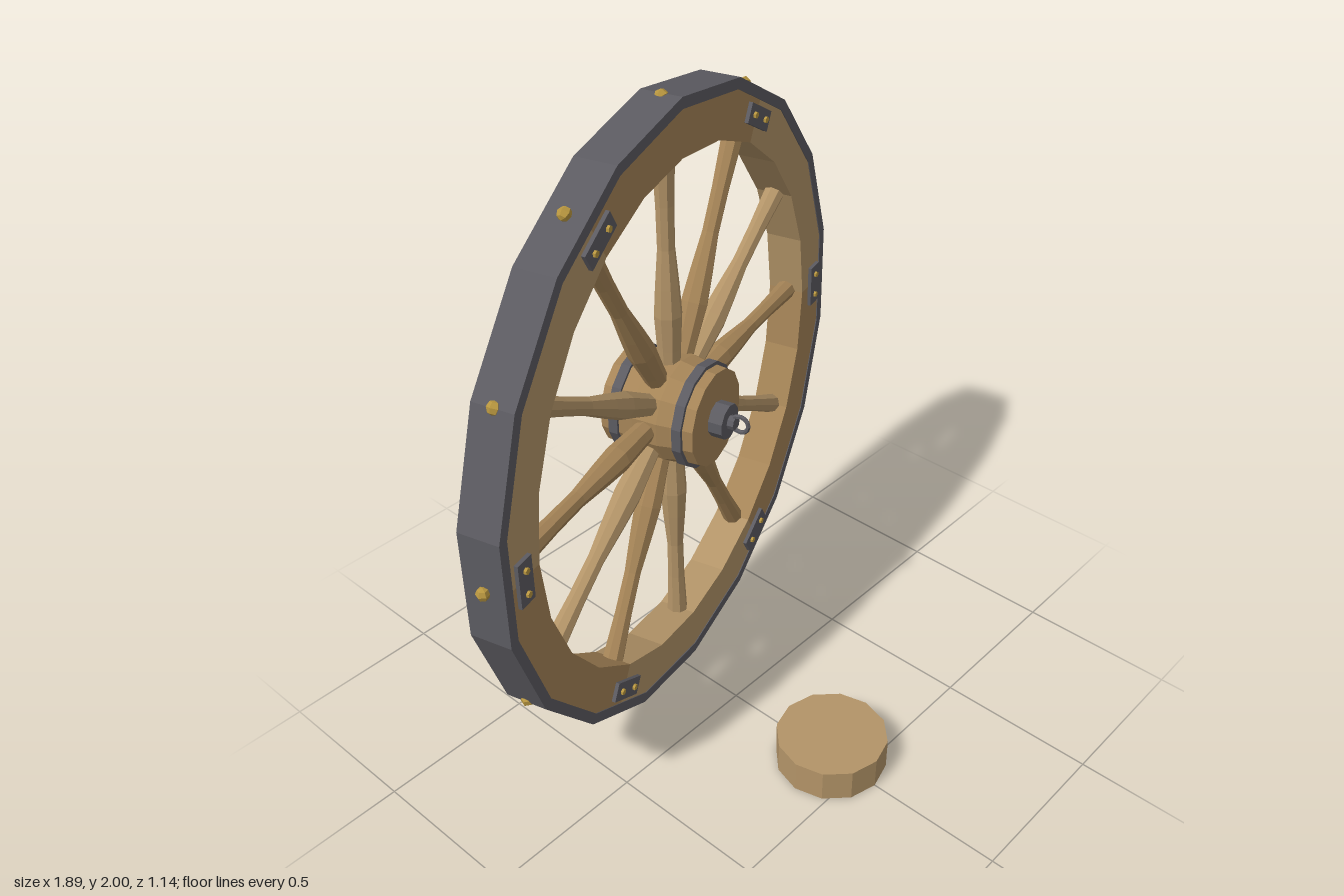
import * as THREE from 'three';

const mat = (color) => new THREE.MeshStandardMaterial({ color, flatShading: true });
const woodLight = mat(0xb39468), woodDark = mat(0xa58457), iron = mat(0x5c5b61), brass = mat(0xb8963f);

function add(parent, name, geometry, material, x = 0, y = 0, z = 0) {
  const mesh = new THREE.Mesh(geometry, material);
  mesh.name = name;
  mesh.position.set(x, y, z);
  parent.add(mesh);
  return mesh;
}

// Points along an arc made of straight segments
function arc(radius, start, end, segments) {
  return Array.from({ length: segments + 1 }, (_, i) => {
    const a = start + (end - start) * i / segments;
    return new THREE.Vector2(radius * Math.cos(a), radius * Math.sin(a));
  });
}

// Flat outline extruded evenly to both sides of z = 0
function slab(shape, depth) {
  return new THREE.ExtrudeGeometry(shape, { depth, bevelEnabled: false }).translate(0, 0, -depth / 2);
}

// Cylinder lying along z
const disc = (radius, depth, sides) => new THREE.CylinderGeometry(radius, radius, depth, sides).rotateX(Math.PI / 2);

const profile = (points) => points.map(([r, y]) => new THREE.Vector2(r, y));

// Group turned about the axle
function spun(parent, name, angle) {
  const group = new THREE.Group();
  group.name = name;
  group.rotation.z = angle;
  parent.add(group);
  return group;
}

function buildRim(wheel) {
  const step = Math.PI / 3;
  const felloe = slab(new THREE.Shape([...arc(0.942, 0, step, 4), ...arc(0.795, step, 0, 4)]), 0.12);
  for (let i = 0; i < 6; i++) {
    add(wheel, 'felloe', felloe, i % 2 ? woodDark : woodLight).rotation.z = i * step;

    // Riveted plate over each joint
    const joint = spun(wheel, 'jointPlate', i * step);
    add(joint, 'plate', new THREE.BoxGeometry(0.06, 0.14, 0.014), iron, 0.87, 0, 0.065);
    for (const y of [-0.038, 0.038]) add(joint, 'rivet', disc(0.01, 0.01, 6), brass, 0.87, y, 0.075);
  }

  // Iron tyre, coarser than the wooden rim
  const top = Math.PI / 2;
  const ring = new THREE.Shape(arc(0.965, top, top + Math.PI * 2, 18).slice(0, -1));
  ring.holes.push(new THREE.Path(arc(0.932, top, top - Math.PI * 2, 18).slice(0, -1)));
  add(wheel, 'tyre', slab(ring, 0.126), iron);

  // Tyre studs
  for (let i = 0; i < 12; i++) {
    const stud = spun(wheel, 'stud', i * Math.PI / 6);
    add(stud, 'studHead', new THREE.SphereGeometry(0.02, 6, 4), brass, 0.957, 0, 0);
  }
}

function buildSpokes(wheel) {
  const spoke = new THREE.LatheGeometry(profile([
    [0.032, 0.1], [0.036, 0.2], [0.042, 0.31], [0.036, 0.4], [0.026, 0.52], [0.027, 0.65], [0.034, 0.82],
  ]), 8);
  for (let i = 0; i < 12; i++) add(wheel, 'spoke', spoke, i % 2 ? woodDark : woodLight).rotation.z = i * Math.PI / 6;
}

function buildHub(wheel) {
  const barrel = new THREE.LatheGeometry(profile([
    [0, -0.152], [0.15, -0.152], [0.156, -0.08], [0.164, -0.04], [0.164, 0.04], [0.156, 0.08], [0.15, 0.152], [0, 0.152],
  ]), 14).rotateX(Math.PI / 2);
  add(wheel, 'hub', barrel, woodDark);
  for (const z of [-0.105, 0.105]) add(wheel, 'hubBand', disc(0.164, 0.03, 14), iron, 0, 0, z);

  // Axle ends with a linchpin ring at the front
  add(wheel, 'axleCapFront', disc(0.055, 0.05, 10), iron, 0, 0, 0.172);
  add(wheel, 'axleCapBack', disc(0.05, 0.045, 10), iron, 0, 0, -0.17);
  add(wheel, 'axleTip', disc(0.022, 0.025, 8), iron, 0, 0, 0.205);
  add(wheel, 'linchpinRing', new THREE.TorusGeometry(0.027, 0.007, 6, 12).rotateY(Math.PI / 2), iron, 0, 0, 0.23);
}

export function createModel() {
  const model = new THREE.Group();
  model.name = 'wheelAndBlock';

  const wheel = new THREE.Group();
  wheel.name = 'wheel';
  wheel.position.set(0, 1.027, -0.26);
  wheel.rotation.y = Math.PI / 12;
  model.add(wheel);
  buildRim(wheel);
  buildSpokes(wheel);
  buildHub(wheel);

  // Loose round block in front of the wheel
  add(model, 'woodBlock', new THREE.CylinderGeometry(0.173, 0.173, 0.105, 12), woodLight, 0, 0.0525, 0.398);
  return model;
}
